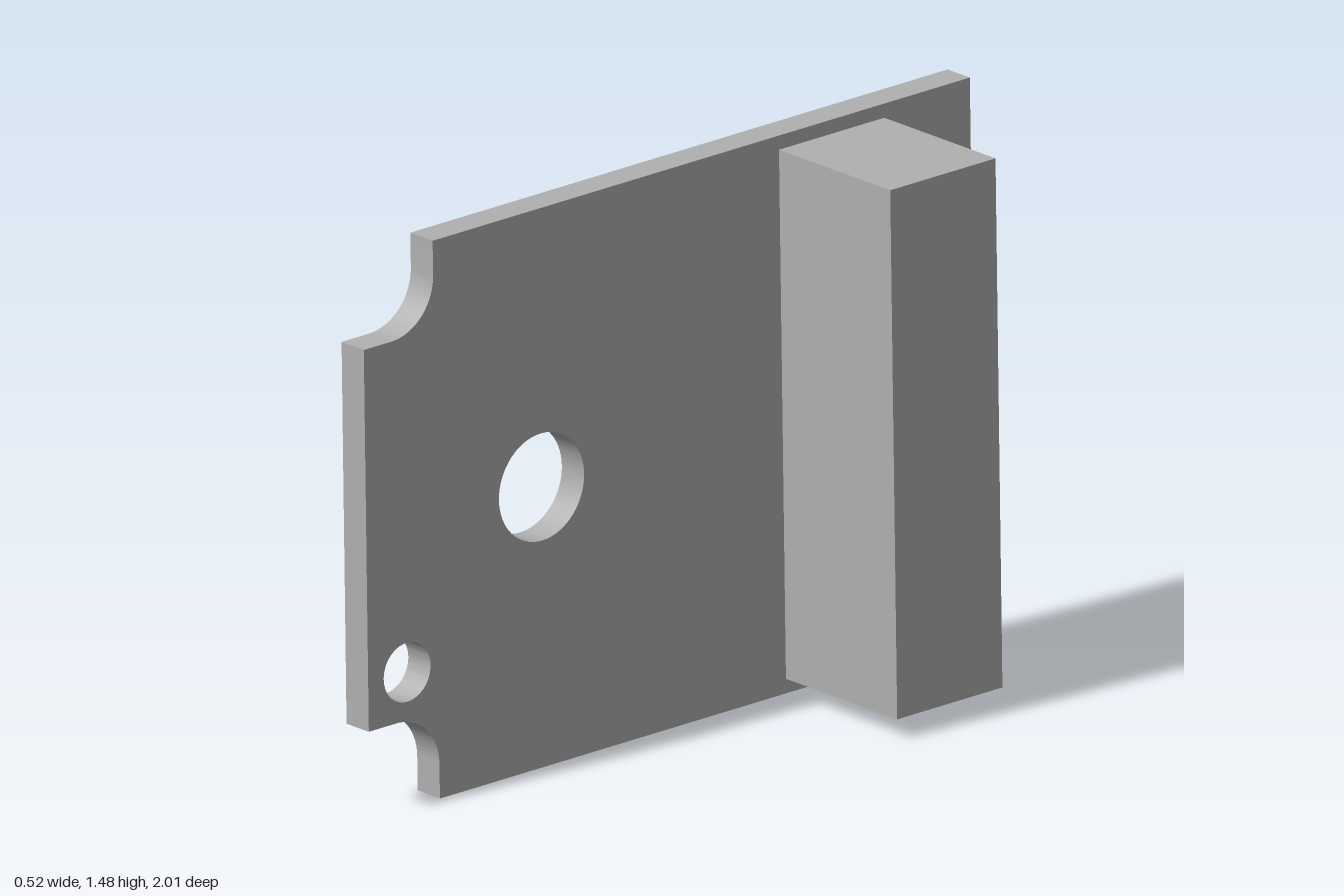
import * as THREE from 'three';
import { toCreasedNormals } from 'three/addons/utils/BufferGeometryUtils.js';

export function createModel() {
  const model = new THREE.Group();
  model.name = 'mountingBracket';
  const grey = new THREE.MeshStandardMaterial({ color: 0xb0b0b0 });
  grey.name = 'plain grey';

  // Plate outline, drawn with horizontal = -z and vertical = y
  const front = -0.996, back = 1.0, bottom = 0.01, top = 1.468;
  const notch = 0.23, fillet = 0.14;
  const inner = front + notch;
  const lowStep = bottom + notch, highStep = top - notch;
  const scoopY = 0.652, scoopHalf = 0.5, scoopDepth = 0.265;
  const scoopR = (scoopHalf ** 2 + scoopDepth ** 2) / (2 * scoopDepth);
  const scoopAngle = Math.asin(scoopHalf / scoopR);

  const outline = new THREE.Shape();
  outline.moveTo(inner, bottom);
  outline.lineTo(back, bottom);
  outline.lineTo(back, scoopY - scoopHalf);
  // large scoop in the back edge
  outline.absarc(back - scoopDepth + scoopR, scoopY, scoopR,
    Math.PI + scoopAngle, Math.PI - scoopAngle, true);
  outline.lineTo(back, top);
  outline.lineTo(inner, top);
  // filleted corner notches
  outline.absarc(inner - fillet, highStep + fillet, fillet, 0, -Math.PI / 2, true);
  outline.lineTo(front, highStep);
  outline.lineTo(front, lowStep);
  outline.absarc(inner - fillet, lowStep - fillet, fillet, Math.PI / 2, 0, true);
  outline.closePath();

  // Round holes: centre and radius
  for (const [u, v, r] of [[-0.42, 0.741, 0.14], [-0.868, 0.365, 0.077], [0.865, 1.198, 0.043]]) {
    const hole = new THREE.Path();
    hole.absarc(u, v, r, 0, Math.PI * 2, true);
    outline.holes.push(hole);
  }

  const plateX = -0.245, thickness = 0.083;
  const plateGeo = new THREE.ExtrudeGeometry(outline, {
    depth: thickness, bevelEnabled: false, curveSegments: 32,
  });
  plateGeo.rotateY(Math.PI / 2);
  plateGeo.translate(plateX, 0, 0);
  const plate = new THREE.Mesh(toCreasedNormals(plateGeo, 0.5), grey);
  plate.name = 'plate';
  model.add(plate);

  // Upright block on the plate's face
  const x0 = plateX + thickness, x1 = 0.253, y0 = 0.048, y1 = 1.431, z0 = -0.718, z1 = -0.372;
  const block = new THREE.Mesh(new THREE.BoxGeometry(x1 - x0, y1 - y0, z1 - z0), grey);
  block.position.set((x0 + x1) / 2, (y0 + y1) / 2, (z0 + z1) / 2);
  block.name = 'block';
  model.add(block);

  // Slight overall lean
  model.rotation.set(0.0095, -0.008, 0.008);
  const root = new THREE.Group();
  root.name = 'bracket';
  root.add(model);
  return root;
}
